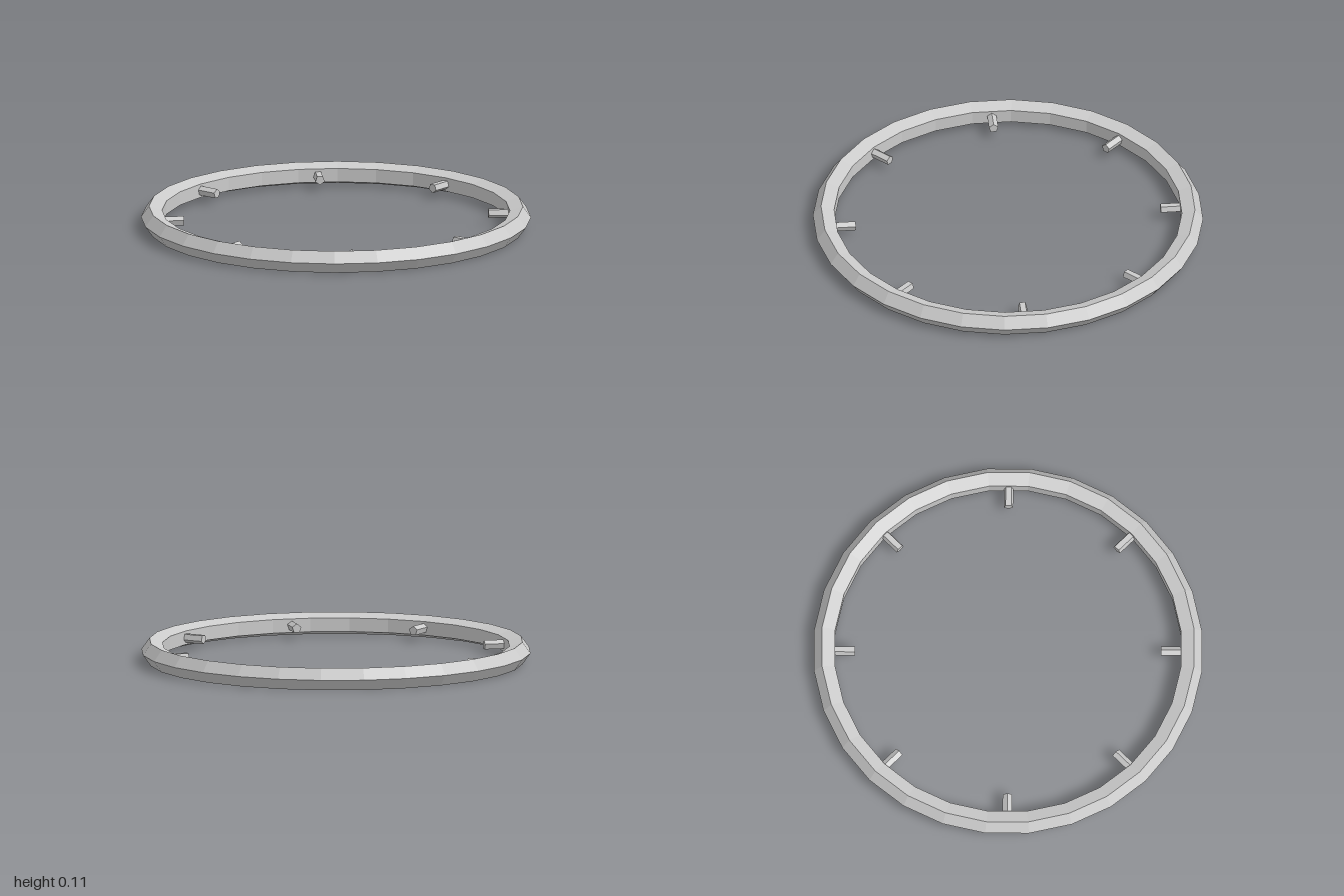
import * as THREE from 'three';

const RING_RADIUS = 0.94;
const TUBE_RADIUS = 0.06;
const CENTRE_Y = 0.057;
const PEG_COUNT = 8;
const PEG_INNER = 0.785;
const PEG_OUTER = 0.92;

export function createModel() {
  const model = new THREE.Group();
  model.name = 'peggedRing';
  const material = new THREE.MeshStandardMaterial({ color: 0xcccccc, flatShading: true });

  // Faceted hoop with a five-sided section, its point facing outward
  const ring = new THREE.Mesh(new THREE.TorusGeometry(RING_RADIUS, TUBE_RADIUS, 5, 28), material);
  ring.name = 'ring';
  ring.rotation.x = -Math.PI / 2;
  ring.position.y = CENTRE_Y;
  model.add(ring);

  // Five-sided peg lying along x, with a corner up or down
  const pegGeometry = (cornerUp) =>
    new THREE.CylinderGeometry(0.025, 0.025, PEG_OUTER - PEG_INNER, 5)
      .rotateZ(-Math.PI / 2)
      .rotateX(cornerUp ? -Math.PI / 2 : Math.PI / 2)
      .translate((PEG_INNER + PEG_OUTER) / 2, 0, 0);
  const cornerUpPeg = pegGeometry(true);
  const cornerDownPeg = pegGeometry(false);

  // Pegs point inward; those from the back round to the right side have a corner up
  for (let i = 0; i < PEG_COUNT; i++) {
    const angle = (i / PEG_COUNT) * Math.PI * 2; // from +x towards +z
    const cornerUp = i >= 3 && i <= 6;
    const peg = new THREE.Mesh(cornerUp ? cornerUpPeg : cornerDownPeg, material);
    peg.name = `peg${i + 1}`;
    peg.rotation.y = -angle;
    peg.position.y = CENTRE_Y;
    model.add(peg);
  }
  return model;
}
